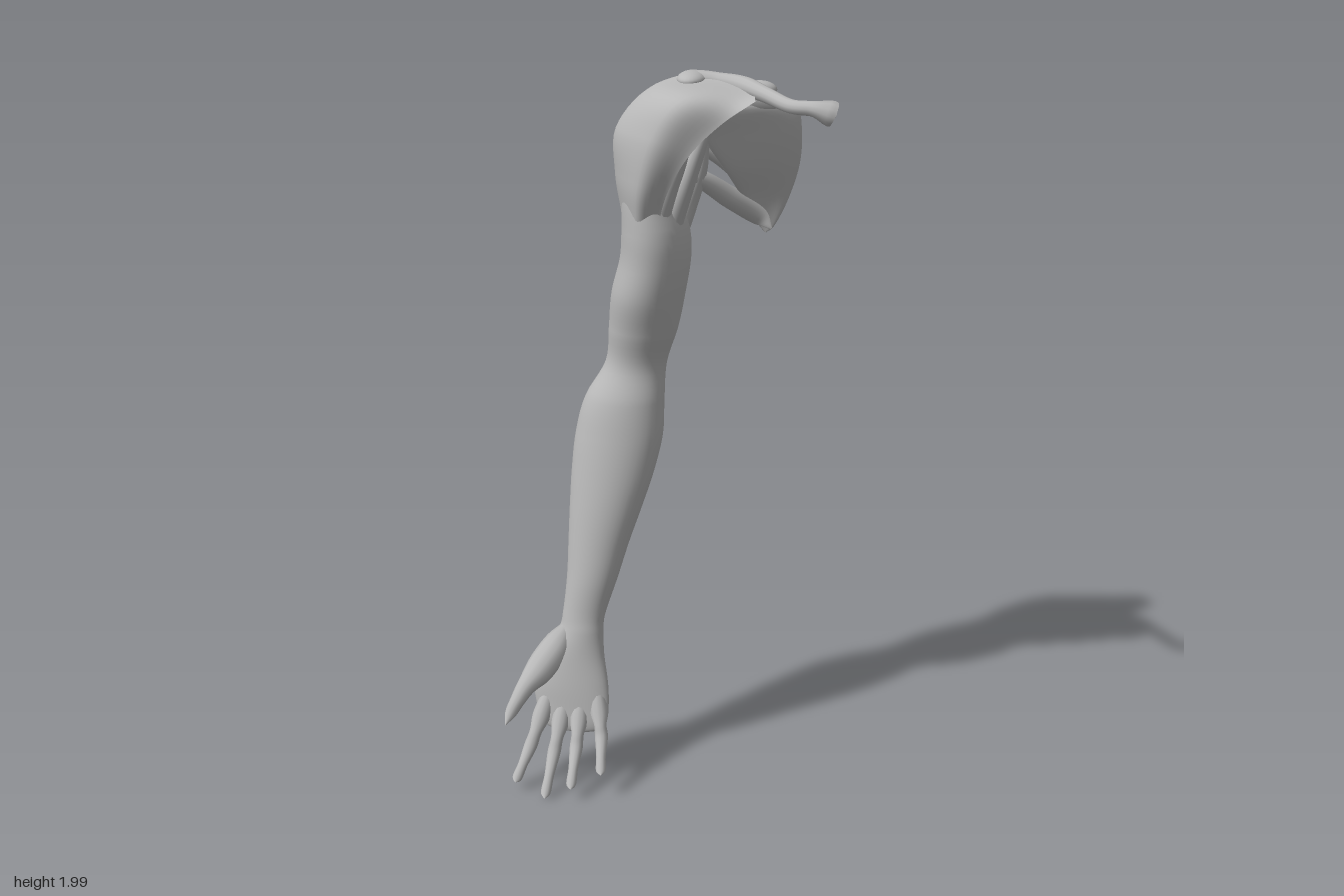
import * as THREE from 'three';
import { ParametricGeometry } from 'three/addons/geometries/ParametricGeometry.js';

const V = (p) => new THREE.Vector3(p[0], p[1], p[2]);
const smooth = (pts) => new THREE.CatmullRomCurve3(pts.map(V), false, 'catmullrom', 0.5);

export function createModel() {
  const model = new THREE.Group();
  const skin = new THREE.MeshStandardMaterial({ color: 0xb8b8b8, side: THREE.DoubleSide });
  skin.name = 'plain grey';

  function add(name, geometry) {
    const mesh = new THREE.Mesh(geometry, skin);
    mesh.name = name;
    model.add(mesh);
    return mesh;
  }

  // Tapering rounded strand through points [x, y, z, radius], closed at both ends
  function strand(name, pts, radial = 12) {
    const steps = pts.length * 8;
    const path = smooth(pts);
    const radii = smooth(pts.map((p) => [p[3], 0, 0]));
    const geo = new THREE.TubeGeometry(path, steps, 1, radial, false);
    const pos = geo.attributes.position;
    const p = new THREE.Vector3();
    for (let i = 0; i < pos.count; i++) {
      const u = Math.floor(i / (radial + 1)) / steps;
      const centre = path.getPointAt(u);
      const r = Math.max(0.0005, radii.getPoint(path.getUtoTmapping(u)).x);
      p.fromBufferAttribute(pos, i).sub(centre).multiplyScalar(r).add(centre);
      pos.setXYZ(i, p.x, p.y, p.z);
    }
    return add(name, geo);
  }

  // Flat fan between two border curves, lens-shaped across and bowed away from the ribs
  const ribward = new THREE.Vector3(0.65, 0, 0.76);
  function fan(name, innerPts, outerPts, thickness, hollow) {
    const inner = smooth(innerPts), outer = smooth(outerPts);
    return add(name, new ParametricGeometry((u, v, out) => {
      const t = u * Math.PI * 2, bow = Math.sin(v * Math.PI);
      out.lerpVectors(outer.getPoint(v), inner.getPoint(v), 0.5 + Math.cos(t) / 2);
      const depth = (0.003 + thickness * bow) * Math.sin(t) - hollow * bow * Math.sin(t) ** 2;
      out.addScaledVector(ribward, depth);
    }, 32, 32));
  }

  function ellipsoid(name, centre, size, turn = 0) {
    const mesh = add(name, new THREE.SphereGeometry(1, 24, 16));
    mesh.position.set(...centre);
    mesh.scale.set(...size);
    mesh.rotation.y = turn;
    return mesh;
  }

  // Arm and palm: horizontal sections [y, xMin, xMax, zMin, zMax] from shoulder to knuckles
  const sections = [
    [1.935, -0.022, -0.018, -0.082, -0.078],
    [1.88, -0.1, 0.055, -0.16, 0],
    [1.78, -0.135, 0, -0.17, 0.01],
    [1.68, -0.148, 0, -0.19, 0.035],
    [1.58, -0.149, 0.03, -0.202, 0.05],
    [1.5, -0.155, 0.035, -0.205, 0.05],
    [1.4, -0.18, 0.02, -0.2, 0.045],
    [1.3, -0.19, 0, -0.18, 0.02],
    [1.2, -0.2, -0.03, -0.15, 0],
    [1.1, -0.255, -0.033, -0.14, 0.03],
    [1.0, -0.28, -0.035, -0.135, 0.05],
    [0.9, -0.288, -0.055, -0.11, 0.068],
    [0.8, -0.29, -0.085, -0.08, 0.085],
    [0.7, -0.29, -0.117, -0.045, 0.1],
    [0.6, -0.29, -0.145, -0.01, 0.115],
    [0.5, -0.297, -0.175, 0.035, 0.125],
    [0.45, -0.308, -0.18, 0.045, 0.135],
    [0.38, -0.355, -0.175, 0.06, 0.15],
    [0.3, -0.377, -0.16, 0.085, 0.165],
    [0.24, -0.368, -0.155, 0.108, 0.173],
    [0.19, -0.352, -0.16, 0.13, 0.178],
    [0.165, -0.32, -0.19, 0.15, 0.175],
    [0.16, -0.26, -0.25, 0.16, 0.165],
  ];
  const low = smooth(sections.map(([y, x0, , z0]) => [x0, y, z0]));
  const high = smooth(sections.map(([y, , x1, , z1]) => [x1, y, z1]));
  add('armAndPalm', new ParametricGeometry((u, v, out) => {
    const a = low.getPoint(v), b = high.getPoint(v), t = u * Math.PI * 2;
    out.set(
      (a.x + b.x) / 2 + (Math.cos(t) * (b.x - a.x)) / 2,
      a.y,
      (a.z + b.z) / 2 + (Math.sin(t) * (b.z - a.z)) / 2);
  }, 40, 110));

  // Fingers: base, middle joint, tip
  const fingers = {
    indexFinger: [[-0.325, 0.27, 0.135], [-0.37, 0.12, 0.205], [-0.402, 0.03, 0.262]],
    middleFinger: [[-0.28, 0.26, 0.135], [-0.3, 0.11, 0.21], [-0.31, 0.004, 0.288]],
    ringFinger: [[-0.235, 0.26, 0.135], [-0.236, 0.13, 0.205], [-0.235, 0.04, 0.284]],
    littleFinger: [[-0.19, 0.28, 0.13], [-0.167, 0.16, 0.185], [-0.155, 0.075, 0.25]],
  };
  for (const [name, [base, joint, tip]] of Object.entries(fingers)) {
    const between = (a, b, t) => a.map((n, i) => n + (b[i] - n) * t);
    strand(name, [
      [...base, 0.02],
      [...between(base, joint, 0.45), 0.026],
      [...between(base, joint, 0.75), 0.018],
      [...joint, 0.019],
      [...between(joint, tip, 0.5), 0.014],
      [...between(joint, tip, 0.88), 0.014],
      [...tip, 0.001],
    ]);
  }
  strand('thumb', [
    [-0.27, 0.47, 0.095, 0.015], [-0.3, 0.41, 0.11, 0.042], [-0.345, 0.345, 0.14, 0.044],
    [-0.385, 0.295, 0.172, 0.028], [-0.408, 0.255, 0.195, 0.021], [-0.425, 0.22, 0.21, 0.016],
    [-0.437, 0.19, 0.225, 0.001],
  ]);

  // Deltoid: open cap, rows run from its bony origin down to the outer upper arm
  const deltoidRows = [
    [[0.225, 1.95, 0.055], [0.2, 1.965, -0.03], [0.12, 1.98, -0.085], [0.045, 1.995, -0.1],
      [0.07, 1.975, -0.18], [0.14, 1.92, -0.25]],
    [[0.14, 1.89, 0.062], [0.04, 1.95, 0.06], [-0.07, 1.955, -0.08], [0, 1.94, -0.22], [0.1, 1.87, -0.265]],
    [[0.06, 1.81, 0.065], [-0.04, 1.85, 0.075], [-0.163, 1.85, -0.07], [-0.085, 1.85, -0.225], [0.05, 1.79, -0.25]],
    [[0, 1.71, 0.045], [-0.08, 1.72, 0.062], [-0.168, 1.73, -0.07], [-0.11, 1.73, -0.205], [0, 1.71, -0.21]],
    [[-0.03, 1.62, 0.02], [-0.09, 1.62, 0.038], [-0.151, 1.62, -0.07], [-0.11, 1.62, -0.178], [-0.03, 1.62, -0.175]],
    [[-0.05, 1.5, 0], [-0.1, 1.5, 0], [-0.135, 1.5, -0.07], [-0.1, 1.5, -0.14], [-0.05, 1.5, -0.15]],
  ].map(smooth);
  add('deltoid', new ParametricGeometry((u, v, out) => {
    const column = new THREE.CatmullRomCurve3(
      deltoidRows.map((row) => row.getPoint(u)), false, 'catmullrom', 0.5);
    out.copy(column.getPoint(v));
  }, 32, 32));

  // Shoulder blade with its rib-side muscle, and the muscle over its back
  fan('shoulderBlade',
    [[0.2, 1.925, -0.21], [0.285, 1.9, -0.24], [0.305, 1.83, -0.25], [0.3, 1.73, -0.265],
      [0.27, 1.63, -0.275], [0.235, 1.555, -0.27], [0.212, 1.533, -0.26]],
    [[0.16, 1.925, -0.17], [0.08, 1.9, -0.03], [0.075, 1.83, -0.055], [0.115, 1.74, -0.12],
      [0.15, 1.65, -0.2], [0.185, 1.57, -0.245], [0.208, 1.535, -0.258]],
    0.024, 0.022);
  fan('rearBladeMuscle',
    [[0.27, 1.89, -0.262], [0.288, 1.82, -0.264], [0.285, 1.72, -0.274], [0.25, 1.61, -0.275]],
    [[0, 1.9, -0.16], [-0.01, 1.86, -0.18], [0.02, 1.8, -0.19], [0.09, 1.72, -0.22]],
    0.028, 0.012);

  // Bones at the top of the shoulder
  strand('collarbone', [
    [0.02, 1.975, -0.1, 0.001], [0.045, 1.975, -0.1, 0.022], [0.11, 1.972, -0.095, 0.022],
    [0.18, 1.968, -0.055, 0.025], [0.25, 1.962, 0.03, 0.02], [0.32, 1.95, 0.1, 0.018],
    [0.38, 1.95, 0.125, 0.02], [0.418, 1.943, 0.132, 0.032], [0.432, 1.938, 0.13, 0.03],
    [0.437, 1.936, 0.13, 0.001],
  ]);
  ellipsoid('shoulderTip', [0.035, 1.975, -0.097], [0.04, 0.022, 0.06]);
  strand('shoulderBladeSpine', [
    [0.295, 1.86, -0.255, 0.006], [0.25, 1.895, -0.265, 0.014], [0.18, 1.925, -0.25, 0.014],
    [0.1, 1.955, -0.195, 0.015], [0.04, 1.975, -0.11, 0.018],
  ]);
  ellipsoid('spineKnob', [0.19, 1.93, -0.225], [0.05, 0.025, 0.026], 0.2);

  // Muscles joining the blade to the upper arm
  strand('upperBladeMuscle', [
    [0.28, 1.89, -0.235, 0.004], [0.22, 1.905, -0.19, 0.026], [0.12, 1.91, -0.13, 0.028],
    [0, 1.9, -0.08, 0.02],
  ]);
  strand('lowerBladeMuscle', [
    [0.225, 1.545, -0.262, 0.004], [0.19, 1.585, -0.25, 0.028], [0.12, 1.645, -0.19, 0.03],
    [0.04, 1.71, -0.12, 0.024], [-0.04, 1.72, -0.05, 0.02],
  ]);
  strand('middleBladeMuscle', [
    [0.2, 1.63, -0.255, 0.004], [0.15, 1.69, -0.24, 0.022], [0.08, 1.76, -0.2, 0.024],
    [-0.02, 1.82, -0.15, 0.02],
  ]);
  strand('frontArmStrand', [
    [0.1, 1.9, -0.02, 0.006], [0.075, 1.83, -0.015, 0.018], [0.035, 1.72, -0.025, 0.024],
    [-0.01, 1.6, -0.045, 0.03], [-0.04, 1.48, -0.06, 0.02],
  ]);
  strand('outerFrontStrand', [
    [0.05, 1.9, 0.015, 0.006], [0.03, 1.8, 0.018, 0.018], [-0.01, 1.7, 0.005, 0.026],
    [-0.05, 1.58, -0.02, 0.03], [-0.06, 1.48, -0.04, 0.02],
  ]);
  strand('rearArmStrand', [
    [0.07, 1.82, -0.11, 0.01], [0.05, 1.73, -0.12, 0.022], [0.01, 1.62, -0.125, 0.03],
    [-0.03, 1.5, -0.12, 0.03],
  ]);

  return model;
}
